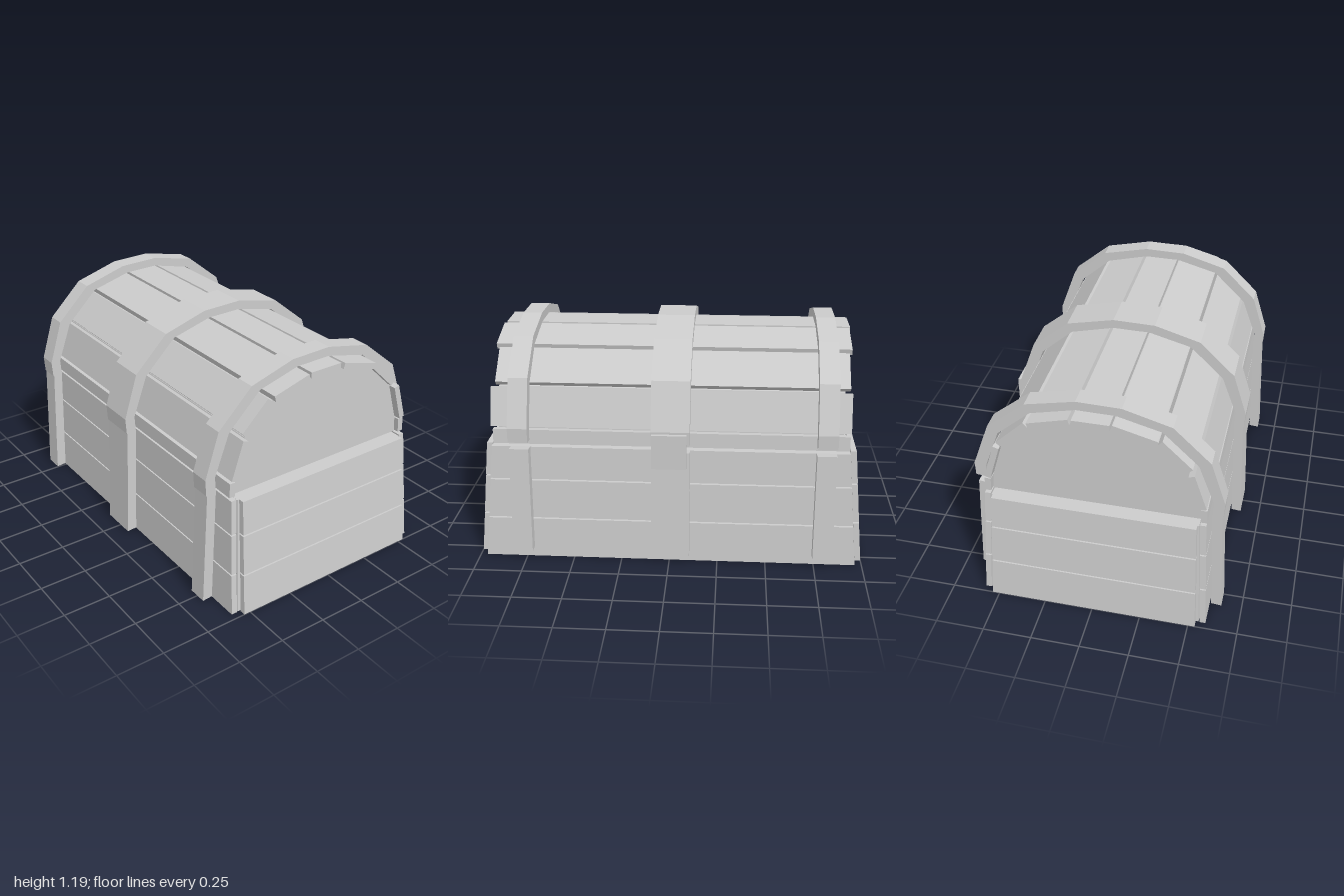
import * as THREE from 'three';

const material = new THREE.MeshStandardMaterial({ color: 0xcccccc, flatShading: true });

// Prism along x from a [z, y] outline; its length shrinks with height by `taper`
function prism(name, outline, x0, x1, taper = 0) {
  const shape = new THREE.Shape(outline.map(([z, y]) => new THREE.Vector2(-z, y)));
  const geo = new THREE.ExtrudeGeometry(shape, { depth: x1 - x0, bevelEnabled: false });
  geo.rotateY(Math.PI / 2).translate(x0, 0, 0);
  const p = geo.attributes.position;
  for (let i = 0; i < p.count; i++) p.setX(i, p.getX(i) * (1 - taper * p.getY(i)));
  geo.computeVertexNormals();
  const mesh = new THREE.Mesh(geo, material);
  mesh.name = name;
  return mesh;
}

// Four-cornered outline of a board lying on the line a-b, gaps at both ends
function board(a, b, lift, thick, gap) {
  const len = Math.hypot(b[0] - a[0], b[1] - a[1]);
  const d = [(b[0] - a[0]) / len, (b[1] - a[1]) / len];
  const n = [d[1], -d[0]];
  const at = (p, s, t) => [p[0] + d[0] * s + n[0] * t, p[1] + d[1] * s + n[1] * t];
  return [at(a, gap, lift), at(b, -gap, lift), at(b, -gap, lift + thick), at(a, gap, lift + thick)];
}

const flip = (outline) => outline.map(([z, y]) => [-z, y]);

export function createModel() {
  const chest = new THREE.Group();
  chest.name = 'chest';

  // Tapered body behind the planks
  chest.add(prism('body', [[0.55, 0.003], [0.52, 0.608], [-0.52, 0.608], [-0.55, 0.003]], -0.965, 0.965, 0.092));

  // Three rows of planks on each wall
  const rows = [[0, 0.213], [0.221, 0.428], [0.436, 0.612]];
  rows.forEach(([y0, y1]) => {
    const wall = (base, slope, t) => [
      [base - slope * y0, y0], [base - slope * y1, y1],
      [base + t - slope * y1, y1], [base + t - slope * y0, y0]];
    const long = wall(0.555, 0.05, 0.03);
    chest.add(prism('frontPlank', long, -0.965, 0.965, 0.092));
    chest.add(prism('backPlank', flip(long), -0.965, 0.965, 0.092));
    for (const side of [1, -1]) {
      const end = prism('endPlank', wall(0.97, 0.09, 0.03), -0.535, 0.535, 0.07);
      end.rotation.y = side * Math.PI / 2;
      chest.add(end);
    }
  });

  // Arched lid core
  const arch = [[0.523, 0.622], [0.521, 0.705], [0.455, 0.905], [0.305, 1.05], [0.095, 1.107],
    [-0.095, 1.107], [-0.305, 1.05], [-0.455, 0.905], [-0.515, 0.705], [-0.52, 0.622]];
  chest.add(prism('lidCore', arch, -0.875, 0.875));

  // Lid planks of uneven length
  const spans = [[-0.905, 0.9], [-0.915, 0.91], [-0.895, 0.885], [-0.915, 0.905], [-0.92, 0.9],
    [-0.915, 0.91], [-0.9, 0.89], [-0.91, 0.91], [-0.905, 0.9]];
  spans.forEach(([x0, x1], i) => {
    chest.add(prism('lidPlank', board(arch[i], arch[i + 1], 0.003, 0.031, 0.004), x0, x1));
  });

  // Straps: arched lid part, front leg and back leg
  const outer = [[0.625, 0.615], [0.63, 0.70], [0.555, 0.935], [0.37, 1.115], [0.13, 1.185],
    [-0.09, 1.19], [-0.34, 1.135], [-0.535, 0.975], [-0.622, 0.735], [-0.62, 0.66]];
  const inner = [[-0.57, 0.655], [-0.565, 0.72], [-0.485, 0.94], [-0.315, 1.088], [-0.09, 1.143],
    [0.10, 1.14], [0.32, 1.082], [0.497, 0.91], [0.575, 0.70], [0.57, 0.615]];
  const frontLeg = [[0.594, 0.015], [0.57, 0.62], [0.62, 0.62], [0.647, 0.01]];
  const backLeg = [[-0.585, 0.055], [-0.557, 0.615], [-0.61, 0.62], [-0.64, 0.055]];
  for (const [x0, x1] of [[-0.84, -0.74], [-0.105, 0.09], [0.71, 0.81]]) {
    const strap = new THREE.Group();
    strap.name = 'strap';
    strap.add(prism('lidStrap', [...outer, ...inner], x0, x1));
    strap.add(prism('frontStrap', frontLeg, x0, x1));
    strap.add(prism('backStrap', backLeg, x0, x1));
    chest.add(strap);
  }

  // Clasp plate on the middle strap
  chest.add(prism('clasp', [[-0.624, 0.545], [-0.624, 0.725], [-0.644, 0.725], [-0.644, 0.545]], -0.09, 0.085));

  return chest;
}
